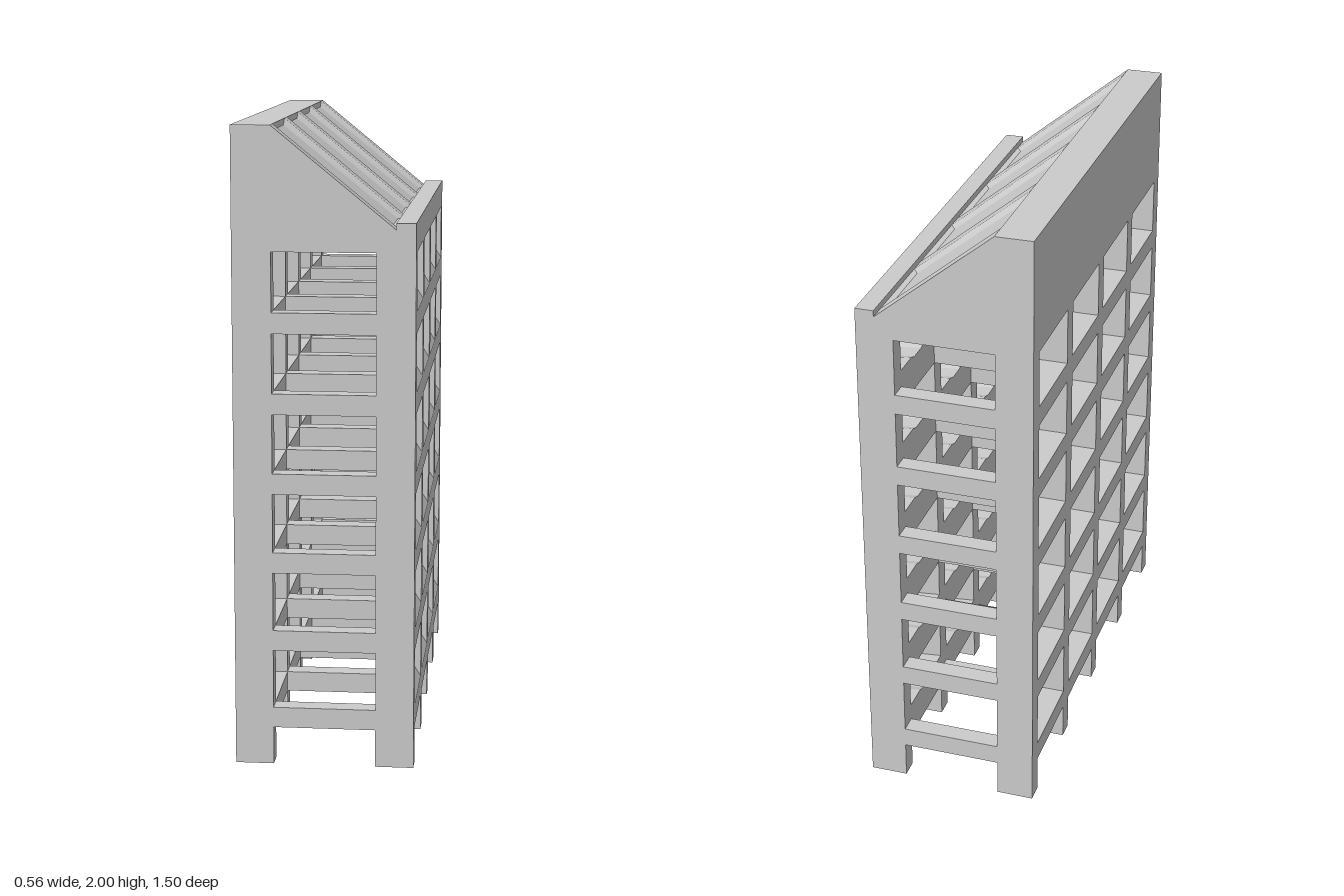
import * as THREE from 'three';

const W = 0.28, INNER = 0.16, HALF_Z = 0.75, EAVE = 1.62;
const POST_Z = [-0.72, -0.36, 0, 0.36, 0.72], POST_W = 0.06;
const BAY_Z = [-0.54, -0.18, 0.18, 0.54], BAY_W = 0.30;
const BAR_H = 0.065, FLOOR_Y = [0, 1, 2, 3, 4, 5].map(i => 0.12 + 0.25 * i);

const material = new THREE.MeshStandardMaterial({ color: 0xcccccc, flatShading: true });

function add(parent, name, geometry, x = 0, y = 0, z = 0) {
  const mesh = new THREE.Mesh(geometry, material);
  mesh.name = name;
  mesh.position.set(x, y, z);
  parent.add(mesh);
  return mesh;
}

function extrude(points, depth) {
  const shape = new THREE.Shape(points.map(p => new THREE.Vector2(...p)));
  return new THREE.ExtrudeGeometry(shape, { depth, bevelEnabled: false });
}

function reshape(geometry, rule) {
  const p = geometry.attributes.position, v = new THREE.Vector3();
  for (let i = 0; i < p.count; i++) {
    rule(v.fromBufferAttribute(p, i));
    p.setXYZ(i, v.x, v.y, v.z);
  }
  geometry.computeVertexNormals();
  return geometry;
}

// Raised sill: dipped in the middle, steep outer bevel, top falling gently outward
function sillGeometry() {
  const h = BAY_W / 2, depth = W - INNER;
  const g = extrude([[-h, 0], [h, 0], [h, 0.055], [0.06, 0.055], [0.03, 0.045],
    [-0.03, 0.045], [-0.06, 0.055], [-h, 0.055]], depth);
  reshape(g, v => {
    if (v.z > depth / 2 && v.y > 0.01) { v.z -= 0.03; v.y -= 0.008; }
  });
  return g.rotateY(Math.PI / 2);
}

// Sloping roof rib with chamfered flanks, cut off at the gable ends
function ribGeometry(zc) {
  const g = extrude([[-INNER, 1.98], [0.2, 1.69], [0.22, 1.69], [-INNER, 2]], 1);
  return reshape(g, v => {
    const top = v.y > 1.99 || v.x > 0.21;
    const half = POST_W / 2 + (top ? 0 : 0.03);
    v.z = THREE.MathUtils.clamp(zc + (v.z > 0.5 ? half : -half), -HALF_Z, HALF_Z);
  });
}

export function createModel() {
  const model = new THREE.Group();
  model.name = 'slopedRoofRack';
  const sideX = (W + INNER) / 2, sideW = W - INNER;

  // Posts along both long sides
  const posts = new THREE.Group();
  posts.name = 'posts';
  const postGeo = new THREE.BoxGeometry(sideW, EAVE, POST_W);
  for (const z of POST_Z)
    for (const s of [-1, 1]) add(posts, 'post', postGeo, s * sideX, EAVE / 2, z);

  // Rails, cross bars and sills on each floor
  const floors = new THREE.Group();
  floors.name = 'floors';
  const railGeo = new THREE.BoxGeometry(sideW, BAR_H, BAY_W);
  const crossGeo = new THREE.BoxGeometry(2 * INNER, BAR_H, POST_W);
  const sillGeo = sillGeometry();
  for (const y of FLOOR_Y) {
    for (const z of POST_Z) add(floors, 'crossBar', crossGeo, 0, y + BAR_H / 2, z);
    for (const z of BAY_Z) {
      for (const s of [-1, 1]) add(floors, 'rail', railGeo, s * sideX, y + BAR_H / 2, z);
      add(floors, 'sill', sillGeo, INNER, y + BAR_H, z);
    }
  }

  // Roof block with a high back wall, sunken slope and low parapet
  const roof = new THREE.Group();
  roof.name = 'roof';
  add(roof, 'roofBlock', extrude([[-W, EAVE], [W, EAVE], [W, 1.71], [0.22, 1.71],
    [0.22, 1.69], [0.2, 1.69], [-INNER, 1.98], [-INNER, 2], [-W, 2]], 2 * HALF_Z), 0, 0, -HALF_Z);
  for (const z of POST_Z) add(roof, 'roofRib', ribGeometry(z));

  model.add(posts, floors, roof);
  return model;
}
